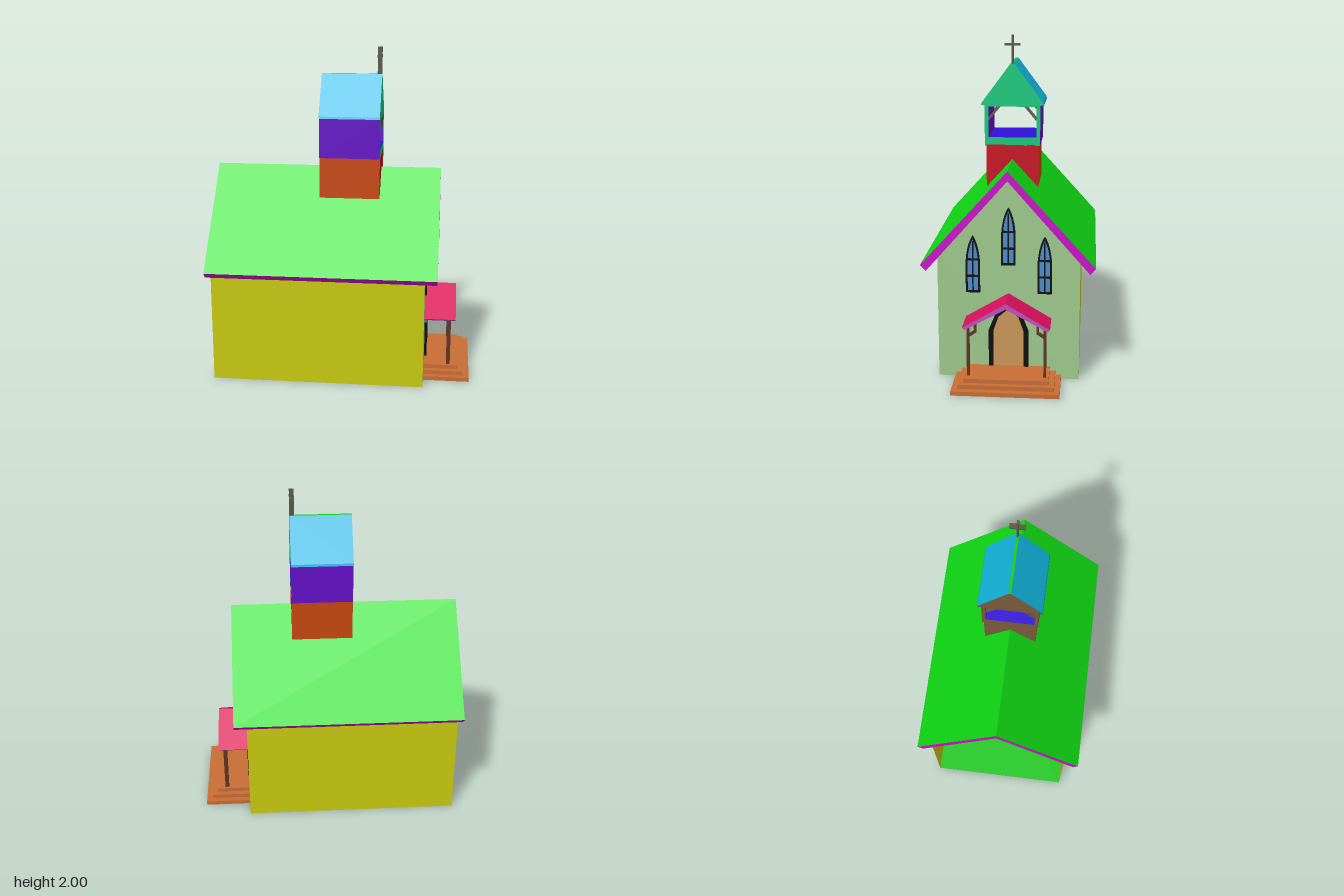
import * as THREE from 'three';

const OFFSET_Z = -0.003;

export function createModel() {
  const model = new THREE.Group();
  model.name = 'church';
  model.position.z = OFFSET_Z;

  const mats = {};
  const mat = (color) => (mats[color] ??= new THREE.MeshStandardMaterial({ color, side: THREE.DoubleSide }));
  const add = (name, geo, color, parent = model) => {
    const mesh = new THREE.Mesh(geo, mat(color));
    mesh.name = name;
    parent.add(mesh);
    return mesh;
  };
  const group = (name) => {
    const g = new THREE.Group();
    g.name = name;
    model.add(g);
    return g;
  };
  const shapeOf = (pts) => new THREE.Shape(pts.map(([z, y]) => new THREE.Vector2(-z, y)));

  // Flat or extruded outline in the z-y plane, facing +x
  const face = (name, shape, x, color, parent, depth = 0) => {
    const geo = depth
      ? new THREE.ExtrudeGeometry(shape, { depth, bevelEnabled: false, curveSegments: 8 })
      : new THREE.ShapeGeometry(shape, 8);
    return add(name, geo.rotateY(Math.PI / 2).translate(x, 0, 0), color, parent);
  };

  // Ribbon: a z-y polyline swept along x, faceted
  const strip = (name, pts, x0, x1, color, parent) => {
    const pos = [];
    for (let i = 0; i < pts.length - 1; i++) {
      const [za, ya] = pts[i], [zb, yb] = pts[i + 1];
      pos.push(x0, ya, za, x1, ya, za, x1, yb, zb, x0, ya, za, x1, yb, zb, x0, yb, zb);
    }
    const geo = new THREE.BufferGeometry();
    geo.setAttribute('position', new THREE.Float32BufferAttribute(pos, 3));
    geo.computeVertexNormals();
    return add(name, geo, color, parent);
  };

  const box = (name, x0, x1, y0, y1, z0, z1, color, parent) =>
    add(name, new THREE.BoxGeometry(x1 - x0, y1 - y0, z1 - z0)
      .translate((x0 + x1) / 2, (y0 + y1) / 2, (z0 + z1) / 2), color, parent);

  // Square timber between two z-y points
  const timber = (name, x, a, b, w, depth, color, parent) => {
    const dz = b[0] - a[0], dy = b[1] - a[1];
    const geo = new THREE.BoxGeometry(depth, Math.hypot(dz, dy), w);
    geo.rotateX(Math.atan2(dz, dy)).translate(x, (a[1] + b[1]) / 2, (a[0] + b[0]) / 2);
    return add(name, geo, color, parent);
  };

  // Pitched roof slab with separately coloured top, underside and edges
  const gableRoof = (name, x0, x1, peak, peakIn, eave, eaveIn, top, under, edge) => {
    const g = group(name);
    const m = ([z, y]) => [-z, y];
    const outer = [eave, [0, peak], m(eave)], inner = [eaveIn, [0, peakIn], m(eaveIn)];
    strip('roofTop', outer, x0, x1, top, g);
    strip('roofUnderside', [...inner].reverse(), x0, x1, under, g);
    strip('roofEave', [eaveIn, eave], x0, x1, edge, g);
    strip('roofEave', [m(eave), m(eaveIn)], x0, x1, edge, g);
    const chevron = shapeOf([...outer, ...[...inner].reverse()]);
    for (const x of [x0, x1]) face('bargeBoard', chevron, x, edge, g);
  };

  // Nave: floor, side walls and front gable, open at the rear
  strip('floor', [[0.417, 0], [-0.417, 0]], -0.775, 0.51, 0x10c814);
  for (const s of [1, -1]) strip('sideWall', [[s * 0.417, 0], [s * 0.417, 0.75]], -0.775, 0.51, 0xc8c80f);
  face('frontWall', shapeOf([[0.417, 0], [0.417, 0.75], [0, 1.212], [-0.417, 0.75], [-0.417, 0]]), 0.51, 0x9dc88c);
  gableRoof('mainRoof', -0.795, 0.585, 1.27, 1.213, [0.507, 0.71], [0.474, 0.675], 0x10d814, 0xcccccc, 0xc80fc8);

  // Pointed arch windows with glazing bars
  const lancet = (w, y0, spring, tip) => {
    const s = new THREE.Shape();
    s.moveTo(-w, y0);
    s.lineTo(w, y0);
    s.lineTo(w, spring);
    s.quadraticCurveTo(w * 0.85, (spring + tip * 2) / 3, 0, tip);
    s.quadraticCurveTo(-w * 0.85, (spring + tip * 2) / 3, -w, spring);
    return s;
  };
  for (const [z, y] of [[0, 0.7], [0.208, 0.53], [-0.211, 0.53]]) {
    const g = group('window');
    g.position.set(0, y, z);
    const frame = lancet(0.042, 0, 0.18, 0.345);
    frame.holes.push(lancet(0.031, 0.012, 0.18, 0.322));
    face('windowFrame', frame, 0.508, 0x0c0c0c, g, 0.012);
    face('windowPane', lancet(0.034, 0.005, 0.18, 0.33), 0.513, 0x4a8ccc, g);
    box('windowMullion', 0.51, 0.518, 0.005, 0.31, -0.004, 0.004, 0x0c0c0c, g);
    for (const h of [0.1, 0.2]) box('windowBar', 0.51, 0.518, h - 0.006, h + 0.006, -0.036, 0.036, 0x0c0c0c, g);
  }

  // Door in a faceted pointed frame
  const arch = (w, spring, shoulder, tip, y0) =>
    [[w, y0], [w, spring], [w * 0.65, shoulder], [0, tip], [-w * 0.65, shoulder], [-w, spring], [-w, y0]];
  const doorInner = arch(0.09, 0.295, 0.385, 0.435, 0.07);
  face('doorFrame', shapeOf([...arch(0.117, 0.3, 0.4, 0.468, 0.07), ...doorInner.reverse()]), 0.505, 0x0c0c0c, model, 0.02);
  face('door', shapeOf(doorInner), 0.514, 0xc89858);

  // Entrance steps
  [[0.79, 0.312], [0.752, 0.278], [0.722, 0.245]].forEach(([x, z], i) =>
    box('step', 0.51, x, i * 0.025, (i + 1) * 0.025, -z, z, 0xc86c34));

  // Porch
  gableRoof('porchRoof', 0.51, 0.7, 0.527, 0.495, [0.252, 0.378], [0.238, 0.365], 0xd80f5c, 0x4a10a0, 0xc050c0);
  for (const s of [1, -1]) {
    box('porchPost', 0.648, 0.672, 0.075, 0.385, s * 0.222 - 0.008, s * 0.222 + 0.008, 0x5a3524);
    timber('porchBrace', 0.66, [s * 0.222, 0.315], [s * 0.176, 0.347], 0.014, 0.02, 0x5a3524);
    timber('porchStrut', 0.66, [s * 0.18, 0.34], [s * 0.18, 0.405], 0.014, 0.02, 0x5a3524);
  }

  // Tower base
  const X0 = -0.145, X1 = 0.22;
  const tower = group('tower');
  const baseEnd = shapeOf([[0.155, 1.102], [0.155, 1.355], [-0.155, 1.355], [-0.155, 1.102]]);
  face('towerFront', baseEnd, X1, 0xc80f20, tower);
  face('towerBack', baseEnd, X0, 0x7a5c3c, tower);
  for (const s of [1, -1])
    strip('towerSide', [[s * 0.155, 1.102], [s * 0.155, 1.355]], X0, X1, 0xc8480f, tower);

  // Open belfry: side panels, floor, and framed ends running up into the gable
  const belfry = group('belfry');
  const endOutline = shapeOf([[0.165, 1.35], [0.165, 1.59], [0.187, 1.592], [0.183, 1.605], [0.008, 1.84],
    [-0.008, 1.84], [-0.183, 1.605], [-0.187, 1.592], [-0.165, 1.59], [-0.165, 1.35]]);
  endOutline.holes.push(shapeOf([[0.142, 1.4], [0.142, 1.583], [-0.142, 1.583], [-0.142, 1.4]]));
  face('belfryFront', endOutline, X1, 0x10c87c, belfry);
  face('belfryBack', endOutline, X0, 0x7a5c3c, belfry);
  strip('belfryBase', [[-0.165, 1.35], [0.165, 1.35]], X0, X1, 0x640fc8, belfry);
  strip('belfryFloor', [[0.165, 1.4], [-0.165, 1.4]], X0, X1, 0x3010d8, belfry);
  strip('belfryCeiling', [[-0.187, 1.59], [0.187, 1.59]], X0, X1, 0x640fc8, belfry);
  for (const s of [1, -1]) {
    strip('belfrySide', [[s * 0.165, 1.35], [s * 0.165, 1.59]], X0, X1, 0x640fc8, belfry);
    strip('belfryInnerSide', [[s * 0.142, 1.4], [s * 0.142, 1.59]], X0, X1, 0x640fc8, belfry);
    strip('belfryRoof', [[s * 0.187, 1.592], [s * 0.183, 1.605], [s * 0.008, 1.84]], X0, X1, 0x10b4dc, belfry);
    for (const x of [X0 + 0.015, X1 - 0.015])
      timber('belfryBrace', x, [s * 0.145, 1.505], [s * 0.075, 1.588], 0.014, 0.025, 0x6a5a48, belfry);
  }
  strip('belfryRidge', [[0.008, 1.84], [-0.008, 1.84]], X0, X1, 0x10c814, belfry);

  // Rooftop cross
  const cross = group('cross');
  box('crossUpright', 0.192, 0.22, 1.82, 2, -0.006, 0.006, 0x5a5648, cross);
  box('crossArm', 0.192, 0.22, 1.94, 1.953, -0.046, 0.046, 0x5a5648, cross);

  return model;
}
